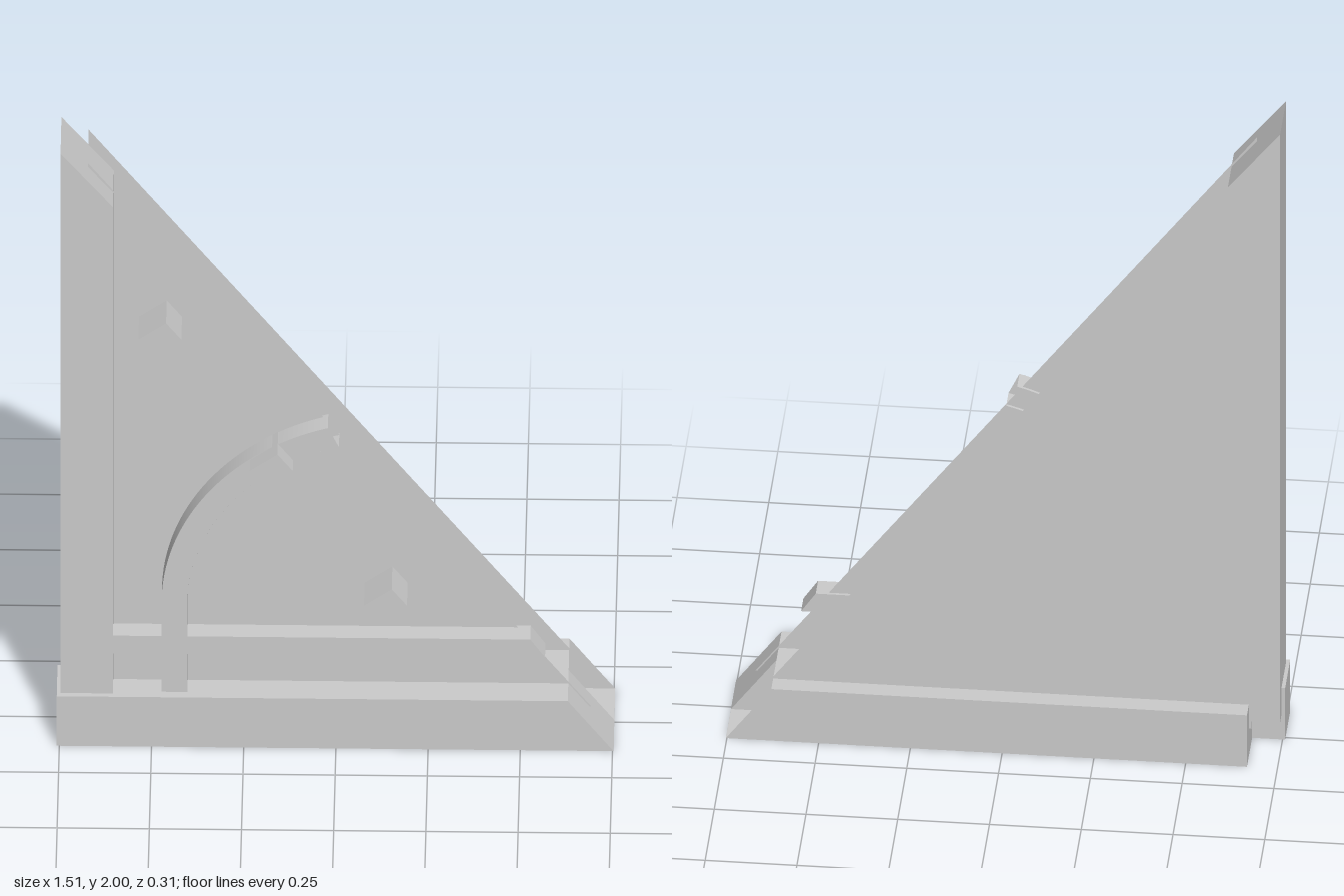
import * as THREE from 'three';

const solid = new THREE.MeshStandardMaterial({ color: 0xcccccc, flatShading: true });
const sheet = new THREE.MeshStandardMaterial({ color: 0xcccccc, side: THREE.DoubleSide });

const shapeOf = (pts) => new THREE.Shape(pts.map(([x, y]) => new THREE.Vector2(x, y)));

function named(name, geo, material) {
  const mesh = new THREE.Mesh(geo, material);
  mesh.name = name;
  return mesh;
}

// Front-view outline given thickness from z0 to z1
function slab(name, pts, z0, z1) {
  const geo = new THREE.ExtrudeGeometry(shapeOf(pts), { depth: z1 - z0, bevelEnabled: false });
  return named(name, geo.translate(0, 0, z0), solid);
}

// Flat outline without thickness
function flat(name, shape, z) {
  return named(name, new THREE.ShapeGeometry(shape, 32).translate(0, 0, z), sheet);
}

// Open shell made of separate flat quads
function quads(name, list) {
  const pos = list.flatMap(([a, b, c, d]) => [a, b, c, a, c, d].flat());
  const geo = new THREE.BufferGeometry();
  geo.setAttribute('position', new THREE.Float32BufferAttribute(pos, 3));
  geo.computeVertexNormals();
  return named(name, geo, sheet);
}

// Curved rail: straight leg and arc, hollow and open at its upper end
function curvedRail(z0, z1) {
  const rail = new THREE.Group();
  rail.name = 'curvedRail';
  const cx = 0.15, cy = 0.47, y0 = 0.165;
  const outer = { r: 0.623, end: Math.acos((-0.022 - cx) / 0.623) };
  const inner = { r: 0.553, end: Math.acos((0.008 - cx) / 0.553) };

  const face = new THREE.Shape();
  face.moveTo(cx - inner.r, y0);
  face.lineTo(cx - inner.r, cy);
  face.absarc(cx, cy, inner.r, Math.PI, inner.end, true);
  face.absarc(cx, cy, outer.r, outer.end, Math.PI, false);
  face.lineTo(cx - outer.r, y0);
  rail.add(flat('railFace', face, z1));

  for (const { r, end } of [outer, inner]) {
    const wall = new THREE.CylinderGeometry(r, r, z1 - z0, 32, 1, true, end + Math.PI / 2, Math.PI - end);
    wall.rotateX(Math.PI / 2).translate(cx, cy, (z0 + z1) / 2);
    rail.add(named('railArcWall', wall, sheet));
    const x = cx - r;
    rail.add(quads('railLegWall', [[[x, y0, z0], [x, y0, z1], [x, cy, z1], [x, cy, z0]]]));
  }
  return rail;
}

export function createModel() {
  const group = new THREE.Group();
  group.name = 'triangularFrame';

  // Upright post with a sloped top
  group.add(slab('post', [[-0.747, 0.08], [-0.605, 0.08], [-0.605, 1.82], [-0.747, 2]], -0.05, 0.115));

  // Front base beam with a sloped end
  group.add(slab('frontBeam', [[-0.757, 0], [0.753, 0], [0.629, 0.168], [-0.757, 0.168]], -0.01, 0.13));

  // Rear base beam: hollow, open at its sloped end
  const L = -0.667, R = 0.753, T = 0.629, h = 0.168, zb = -0.152, zf = -0.01;
  group.add(quads('rearBeam', [
    [[L, h, zf], [T, h, zf], [T, h, zb], [L, h, zb]],
    [[L, 0, zb], [R, 0, zb], [R, 0, zf], [L, 0, zf]],
    [[R, 0, zb], [L, 0, zb], [L, h, zb], [T, h, zb]],
    [[L, 0, zb], [L, 0, zf], [L, h, zf], [L, h, zb]],
  ]));

  // Two thin triangular panels, open between them along the slope
  const triangle = shapeOf([[-0.674, 0.09], [0.692, 0.09], [-0.674, 1.92]]);
  group.add(flat('backPanel', triangle, -0.1));
  group.add(flat('frontPanel', triangle, 0.05));

  // Horizontal rail
  group.add(slab('rail', [[-0.605, 0.297], [0.567, 0.297], [0.527, 0.357], [-0.605, 0.357]], 0.042, 0.105));

  group.add(curvedRail(0.042, 0.105));

  // Pegs turned square to the sloping edge
  for (const [x, y] of [[-0.477, 1.4], [-0.175, 0.958], [0.135, 0.504]]) {
    const peg = named('peg', new THREE.BoxGeometry(0.094, 0.069, 0.193), solid);
    peg.position.set(x, y, 0.057);
    peg.rotation.z = Math.atan2(3, 4);
    group.add(peg);
  }
  return group;
}
